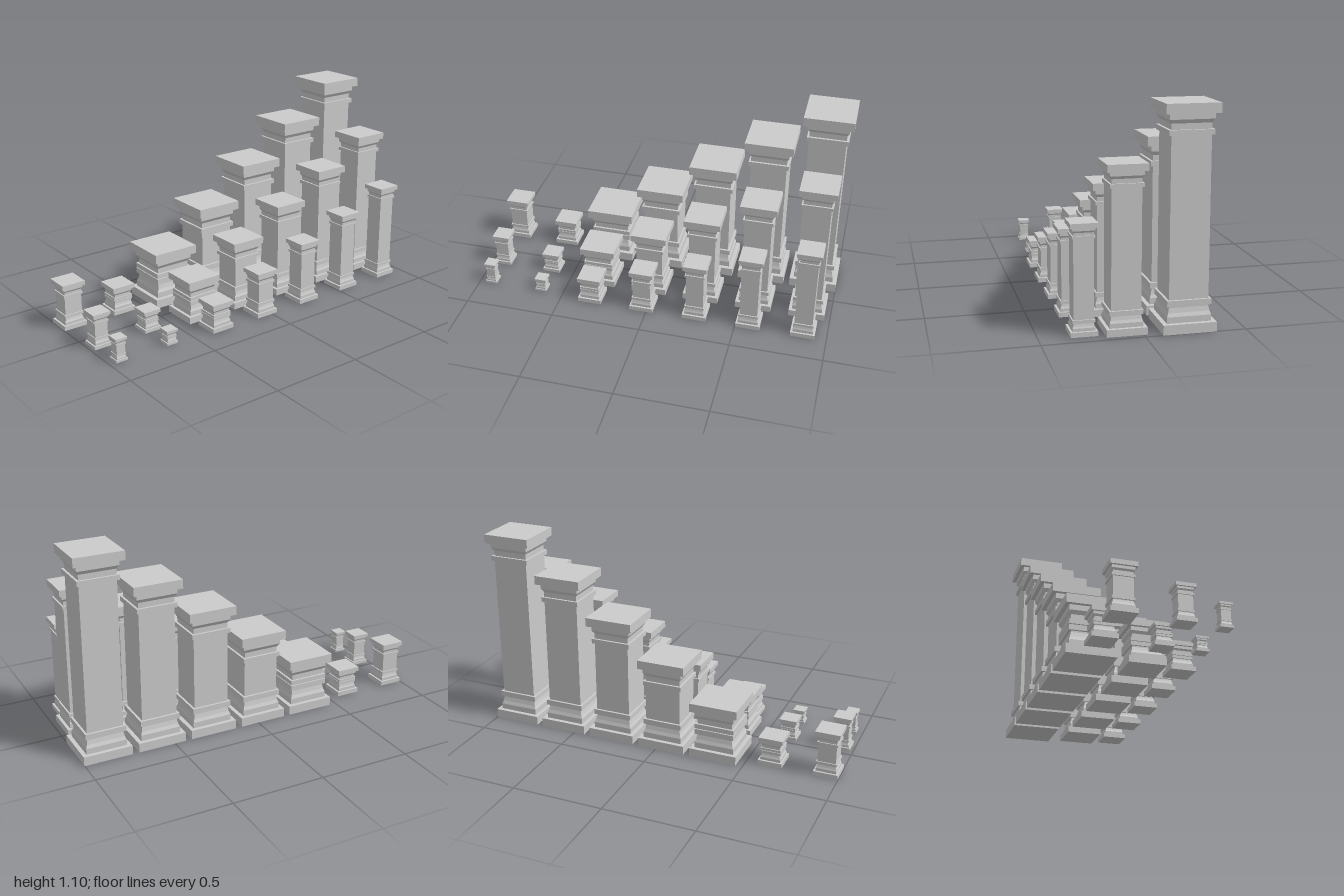
import * as THREE from 'three';

const material = new THREE.MeshStandardMaterial({ color: 0xcccccc, flatShading: true });
const SHAFT = 0.098; // half width of the shaft at full scale

// Mouldings as [half width, height], listed from bottom to top
const BASE = [
  [0, 0], [0.1325, 0], [0.1325, 0.049], [0.11, 0.049], [0.11, 0.08],
  [0.103, 0.098], [0.098, 0.122], [0.098, 0.131],
  [0.11, 0.131], [0.11, 0.16], [SHAFT, 0.16],
];
// Capital heights are measured down from the top of the pillar
const CAPITAL = [
  [SHAFT, -0.151], [0.11, -0.151], [0.11, -0.125], [0.098, -0.125],
  [0.098, -0.096], [0.11, -0.077], [0.11, -0.048],
  [0.1325, -0.048], [0.1325, 0], [0, 0],
];

// Sweeps a profile around a square plan
function squareMoulding(name, profile, offset = 0) {
  const points = profile.map(([half, y]) => new THREE.Vector2(half * Math.SQRT2, y + offset));
  const mesh = new THREE.Mesh(new THREE.LatheGeometry(points, 4, Math.PI / 4), material);
  mesh.name = name;
  return mesh;
}

function pillar(height, scale) {
  const group = new THREE.Group();
  group.add(
    squareMoulding('base', BASE),
    squareMoulding('shaft', [[SHAFT, 0.16], [SHAFT, height - 0.151]]),
    squareMoulding('capital', CAPITAL, height),
  );
  group.scale.setScalar(scale);
  return group;
}

export function createModel() {
  const model = new THREE.Group();
  model.name = 'pillarSet';
  const columns = [[-0.219, 1], [0.081, 0.75], [0.281, 0.5]];
  const heightAt = (step) => 0.315 + step * 0.1962;

  for (const [x, scale] of columns) {
    // Five pillars growing taller toward the back
    for (let i = 0; i < 5; i++) {
      const p = pillar(heightAt(i), scale);
      p.name = 'pillar';
      p.position.set(x, 0, 0.33 - i * 0.3);
      model.add(p);
    }
    // Two half-size pillars at the front
    for (let i = 0; i < 2; i++) {
      const p = pillar(heightAt(i), scale / 2);
      p.name = 'smallPillar';
      p.position.set(x, 0, 0.63 + i * 0.302);
      model.add(p);
    }
  }
  return model;
}
